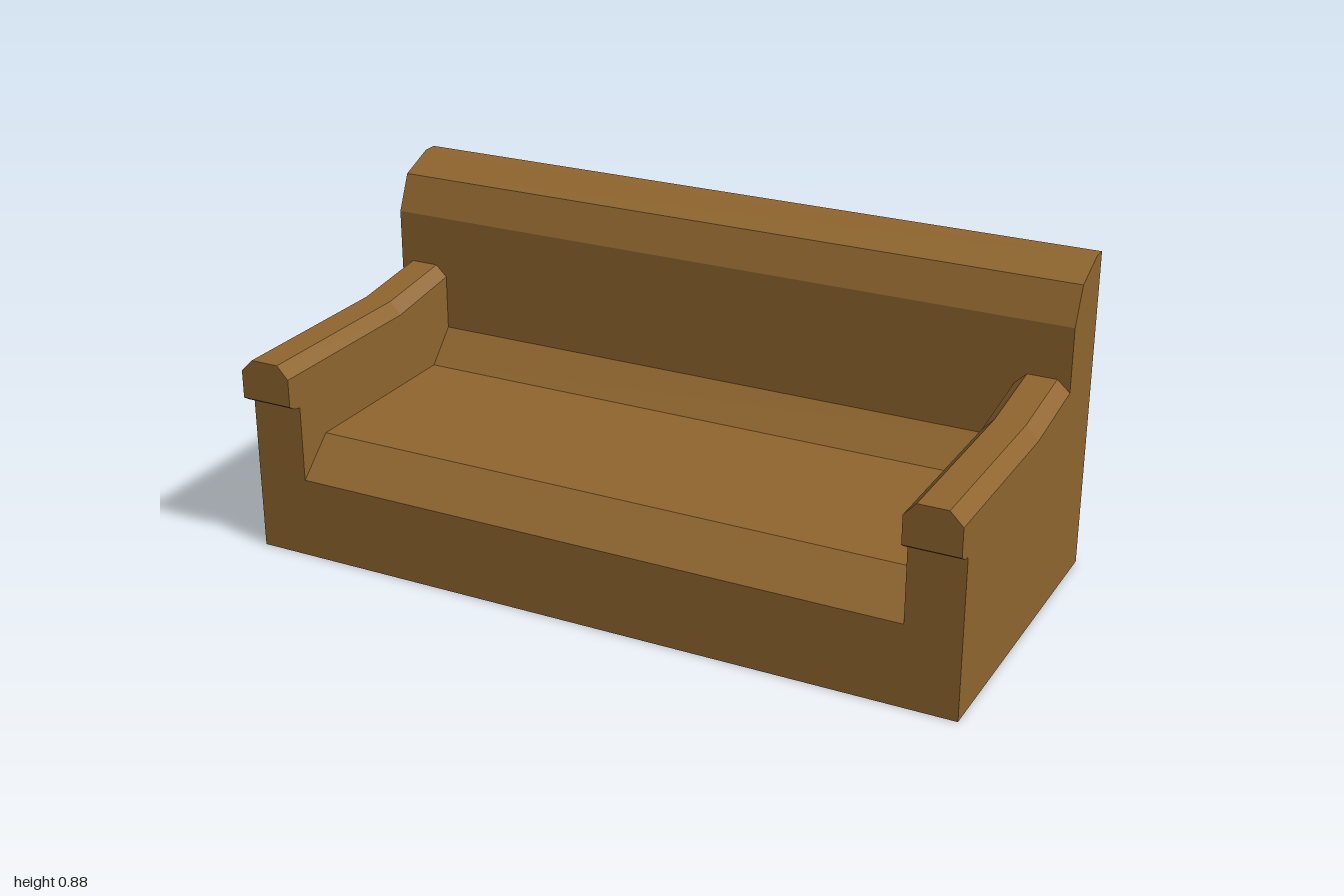
import * as THREE from 'three';

const HALF = 1, INNER = 0.853, BACK = -0.4775, FRONT = 0.435, BASE_H = 0.225;

// Extrude a [z, y] profile sideways, centred on x = 0
function sideProfile(points, halfWidth) {
  const shape = new THREE.Shape(points.map(([z, y]) => new THREE.Vector2(z, y)));
  const geo = new THREE.ExtrudeGeometry(shape, { depth: halfWidth * 2, bevelEnabled: false });
  return geo.rotateY(-Math.PI / 2).translate(halfWidth, 0, 0);
}

// Loft a chamfered armrest through [z, bottom, shoulder, top] stations
function armGeometry(side) {
  const stations = [
    [-0.289, BASE_H, 0.565, 0.596],
    [-0.05, BASE_H, 0.53, 0.565],
    [FRONT, BASE_H, 0.53, 0.565],
    [FRONT, 0.436, 0.53, 0.565],
    [0.457, 0.44, 0.53, 0.565],
    [0.4775, 0.453, 0.53, 0.565],
  ];
  const rings = stations.map(([z, b, s, t]) => {
    const ring = [[HALF, b], [HALF, s], [0.965, t], [0.885, t], [INNER, s], [INNER, b]]
      .map(([x, y]) => new THREE.Vector3(side * x, y, z));
    return side > 0 ? ring : ring.reverse();
  });
  const pos = [];
  const tri = (a, b, c) => {
    if (new THREE.Triangle(a, b, c).getArea() > 1e-7) {
      for (const p of [a, b, c]) pos.push(p.x, p.y, p.z);
    }
  };
  for (let k = 0; k < rings.length - 1; k++) {
    const r = rings[k], f = rings[k + 1];
    // Vertical step under the overhang has only its front face
    const step = stations[k][0] === stations[k + 1][0];
    for (let i = 0; i < 6; i++) {
      const j = (i + 1) % 6;
      if (step && i !== 5) continue;
      tri(r[i], r[j], f[j]);
      tri(r[i], f[j], f[i]);
    }
  }
  // Front cap
  const cap = rings[rings.length - 1];
  for (let i = 1; i < 5; i++) tri(cap[0], cap[i], cap[i + 1]);
  const geo = new THREE.BufferGeometry();
  geo.setAttribute('position', new THREE.Float32BufferAttribute(pos, 3));
  geo.computeVertexNormals();
  return geo;
}

export function createModel() {
  const group = new THREE.Group();
  const brown = new THREE.MeshStandardMaterial({ color: 0x8f652e });
  brown.name = 'brown upholstery';
  const add = (name, geo) => {
    const mesh = new THREE.Mesh(geo, brown);
    mesh.name = name;
    group.add(mesh);
  };

  // Solid base block
  const depth = FRONT - BACK;
  add('base', new THREE.BoxGeometry(HALF * 2, BASE_H, depth)
    .translate(0, BASE_H / 2, (FRONT + BACK) / 2));

  // Seat with sloped front lip and rear wedge
  add('seat', sideProfile([
    [-0.289, BASE_H], [FRONT, BASE_H], [0.33, 0.322], [-0.205, 0.322], [-0.289, 0.41],
  ], INNER));

  // Backrest with a faceted top edge
  add('backrest', sideProfile([
    [BACK, BASE_H], [-0.289, BASE_H], [-0.289, 0.741], [-0.333, 0.841], [-0.435, 0.884], [BACK, 0.884],
  ], HALF));

  // Armrests with an overhanging front end
  add('leftArmrest', armGeometry(1));
  add('rightArmrest', armGeometry(-1));
  return group;
}
